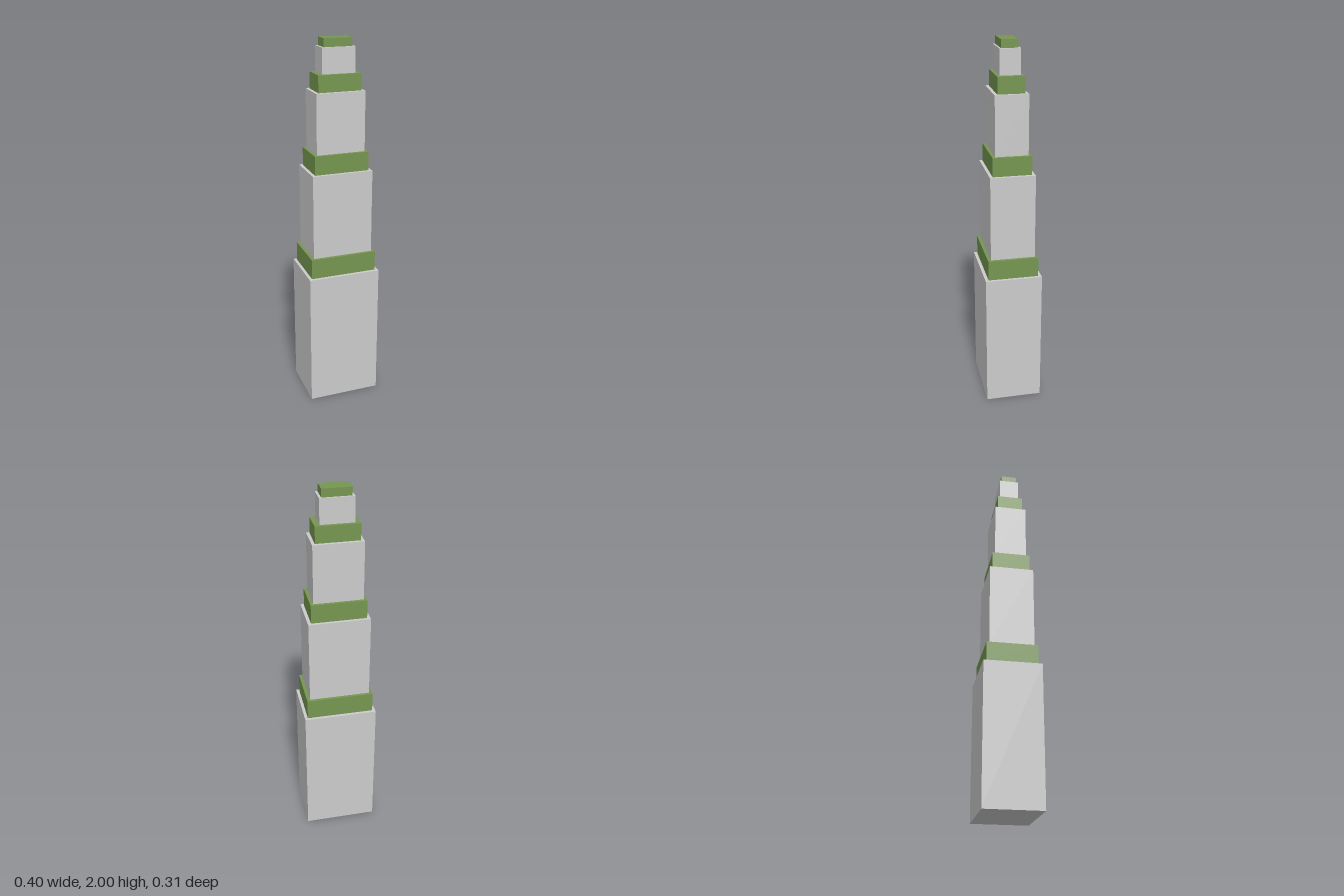
import * as THREE from 'three';

const grey = new THREE.MeshStandardMaterial({ color: 0xcccccc });
const green = new THREE.MeshStandardMaterial({ color: 0x769650 });

// Stacked tiers, bottom to top: name, width, depth, top height
const tiers = [
  ['baseBlock', 0.397, 0.309, 0.75],
  ['lowerTerrace', 0.364, 0.274, 0.859],
  ['lowerBlock', 0.33, 0.241, 1.319],
  ['middleTerrace', 0.296, 0.208, 1.42],
  ['middleBlock', 0.264, 0.176, 1.737],
  ['upperTerrace', 0.231, 0.142, 1.825],
  ['upperBlock', 0.178, 0.108, 1.957],
  ['roofTerrace', 0.153, 0.088, 2],
];

export function createModel() {
  const tower = new THREE.Group();
  tower.name = 'steppedTower';

  // Grey blocks alternate with green planted terraces
  let bottom = 0;
  tiers.forEach(([name, width, depth, top], i) => {
    const height = top - bottom;
    const tier = new THREE.Mesh(new THREE.BoxGeometry(width, height, depth), i % 2 ? green : grey);
    tier.name = name;
    tier.position.y = bottom + height / 2;
    tower.add(tier);
    bottom = top;
  });

  return tower;
}
